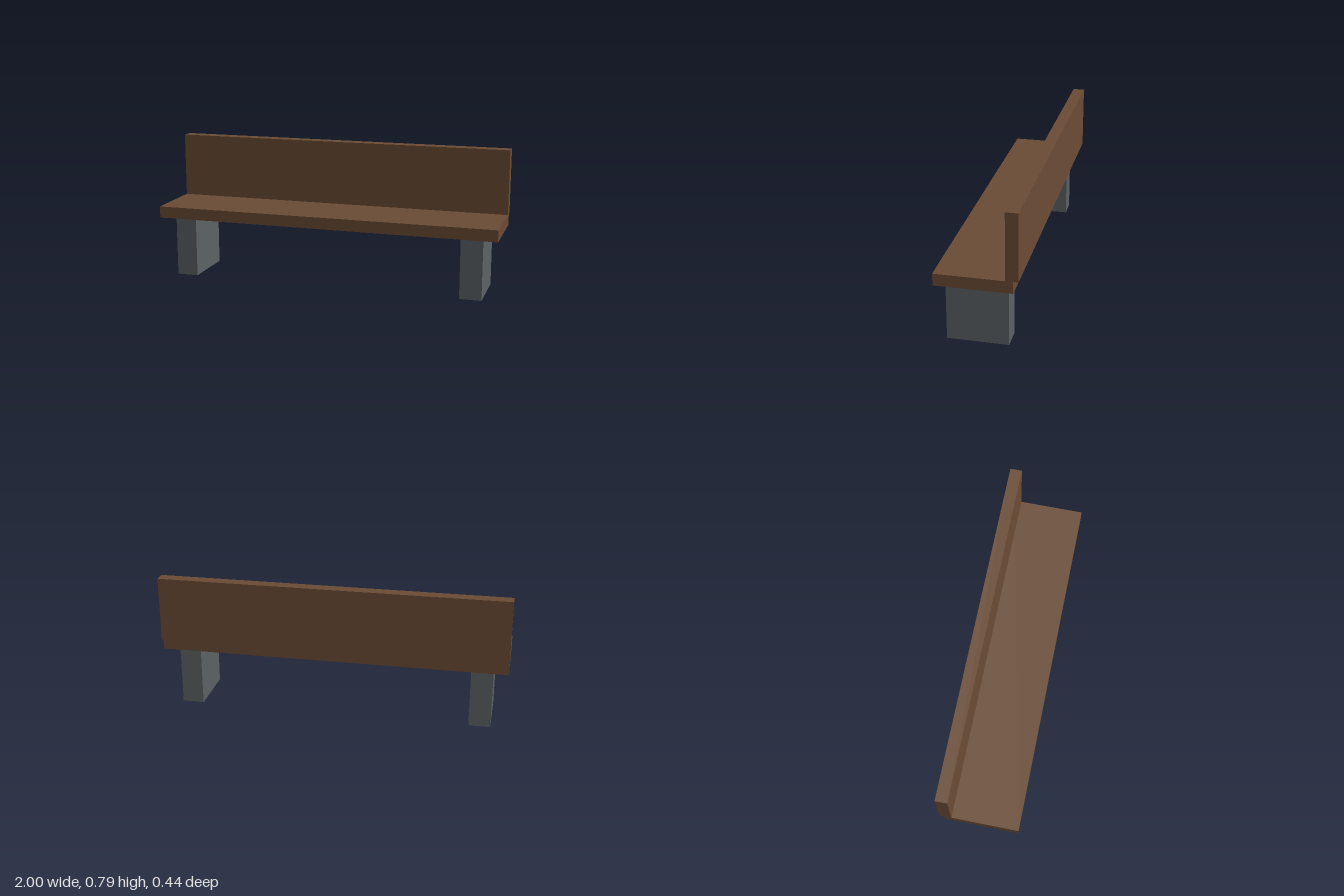
import * as THREE from 'three';

export function createModel() {
  const bench = new THREE.Group();
  bench.name = 'bench';

  const wood = new THREE.MeshStandardMaterial({ color: 0x6b4c35 });
  wood.name = 'brown wood';
  const stone = new THREE.MeshStandardMaterial({ color: 0x5c6265 });
  stone.name = 'grey stone';

  // Box given by its extents on each axis
  function block(name, material, [x0, x1], [y0, y1], [z0, z1]) {
    const mesh = new THREE.Mesh(new THREE.BoxGeometry(x1 - x0, y1 - y0, z1 - z0), material);
    mesh.position.set((x0 + x1) / 2, (y0 + y1) / 2, (z0 + z1) / 2);
    mesh.name = name;
    bench.add(mesh);
  }

  // Planks: the backrest stands on the seat and overhangs its rear edge
  block('seat', wood, [-1, 1], [0.351, 0.418], [-0.195, 0.222]);
  block('backrest', wood, [-1, 1], [0.418, 0.792], [-0.222, -0.154]);

  // Solid supports near each end
  block('leftLeg', stone, [0.79, 0.915], [0, 0.351], [-0.154, 0.18]);
  block('rightLeg', stone, [-0.915, -0.79], [0, 0.351], [-0.154, 0.18]);

  return bench;
}
